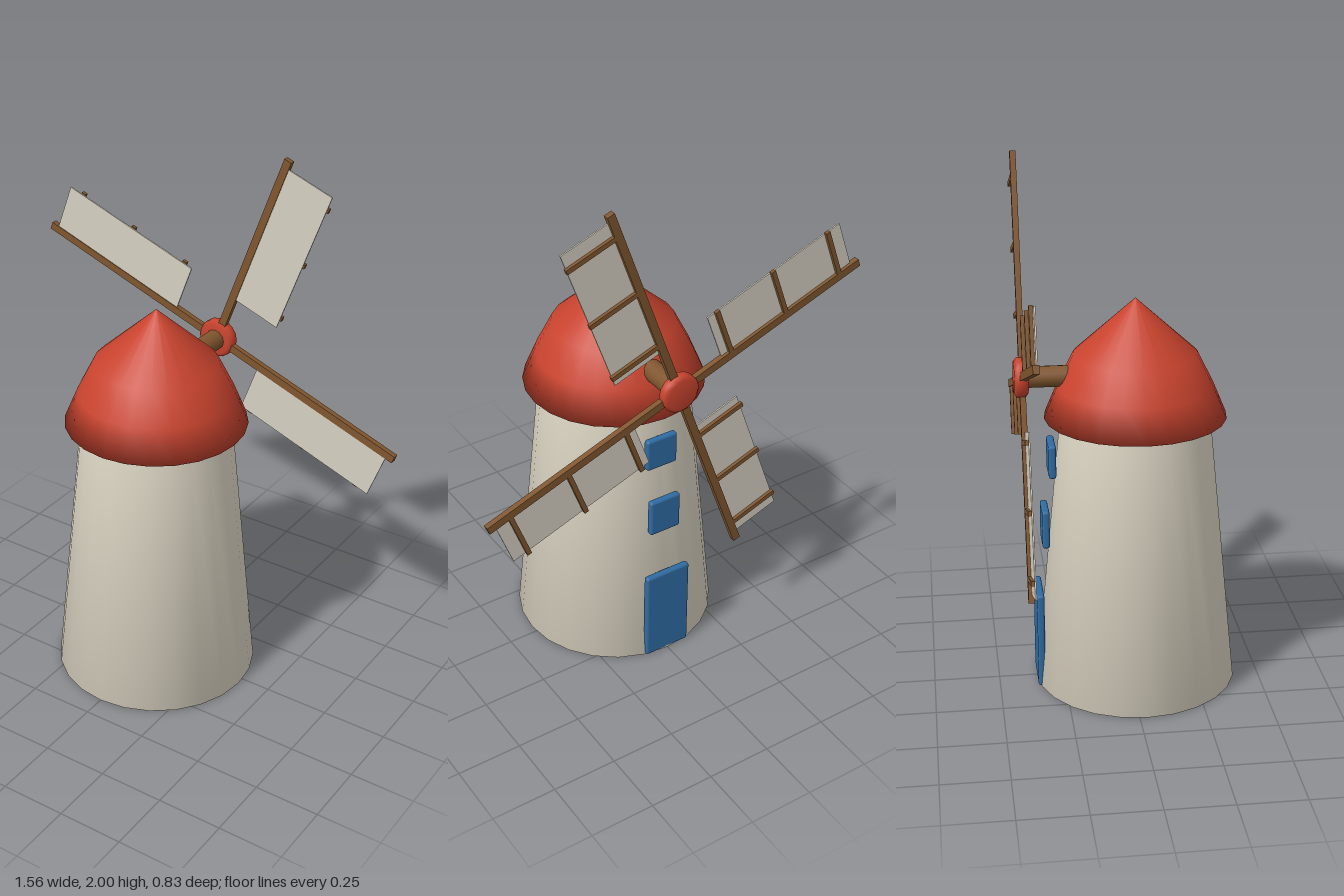
import * as THREE from 'three';
import { RoundedBoxGeometry } from 'three/addons/geometries/RoundedBoxGeometry.js';

const plaster = new THREE.MeshStandardMaterial({ name: 'plaster', color: 0xdfd8c6 });
const roofRed = new THREE.MeshStandardMaterial({ name: 'roofRed', color: 0xc8432e });
const wood = new THREE.MeshStandardMaterial({ name: 'wood', color: 0x80562f });
const canvas = new THREE.MeshStandardMaterial({ name: 'canvas', color: 0xd6d0c2 });
const paintBlue = new THREE.MeshStandardMaterial({ name: 'paintBlue', color: 0x2f6ca3 });

function add(parent, name, geometry, material, x = 0, y = 0, z = 0) {
  const mesh = new THREE.Mesh(geometry, material);
  mesh.name = name;
  mesh.position.set(x, y, z);
  parent.add(mesh);
  return mesh;
}

const lathe = (points, sides) =>
  new THREE.LatheGeometry(points.map(([r, y]) => new THREE.Vector2(r, y)), sides);

// One blade pointing along +y, with its sail on the +x side
function createBlade() {
  const blade = new THREE.Group();
  blade.name = 'blade';
  add(blade, 'spar', new THREE.BoxGeometry(0.03, 0.825, 0.022), wood, 0, 0.4125, 0);
  add(blade, 'sail', new THREE.BoxGeometry(0.2, 0.596, 0.006), canvas, 0.104, 0.497, 0.005);
  for (const y of [0.238, 0.487, 0.735]) {
    add(blade, 'crossbar', new THREE.BoxGeometry(0.21, 0.018, 0.014), wood, 0.105, y, -0.004);
  }
  return blade;
}

export function createModel() {
  const model = new THREE.Group();
  model.name = 'windmill';

  // Tapered tower and pointed cap
  add(model, 'tower', lathe([[0, 0], [0.385, 0], [0.28, 1.07]], 24), plaster, 0, 0, 0.03);
  add(model, 'cap', lathe([[0, 1.06], [0.34, 1.06], [0.29, 1.18], [0.23, 1.3], [0, 1.51]], 24),
    roofRed, 0, 0, 0.03);

  // Door and windows on the back wall
  const panels = [
    ['door', 0.19, 0, 0.38, -0.34],
    ['lowerWindow', 0.13, 0.56, 0.71, -0.313],
    ['upperWindow', 0.13, 0.84, 0.97, -0.285],
  ];
  for (const [name, width, bottom, top, z] of panels) {
    add(model, name, new RoundedBoxGeometry(width, top - bottom, 0.028, 2, 0.01),
      paintBlue, 0, (bottom + top) / 2, z);
  }

  // Axle and hub
  const axle = add(model, 'axle', new THREE.CylinderGeometry(0.04, 0.04, 0.24, 12), wood, 0, 1.222, -0.26);
  axle.rotation.x = Math.PI / 2;
  const hub = add(model, 'hub',
    lathe([[0, -0.026], [0.06, -0.026], [0.075, -0.013], [0.075, 0.013], [0.06, 0.026], [0, 0.026]], 16),
    roofRed, 0, 1.222, -0.392);
  hub.rotation.x = Math.PI / 2;

  // Four blades, turned a little off upright
  const rotor = new THREE.Group();
  rotor.name = 'rotor';
  rotor.position.set(0, 1.222, -0.387);
  for (let i = 0; i < 4; i++) {
    const blade = createBlade();
    blade.rotation.z = THREE.MathUtils.degToRad(-20 + i * 90);
    rotor.add(blade);
  }
  model.add(rotor);

  return model;
}
